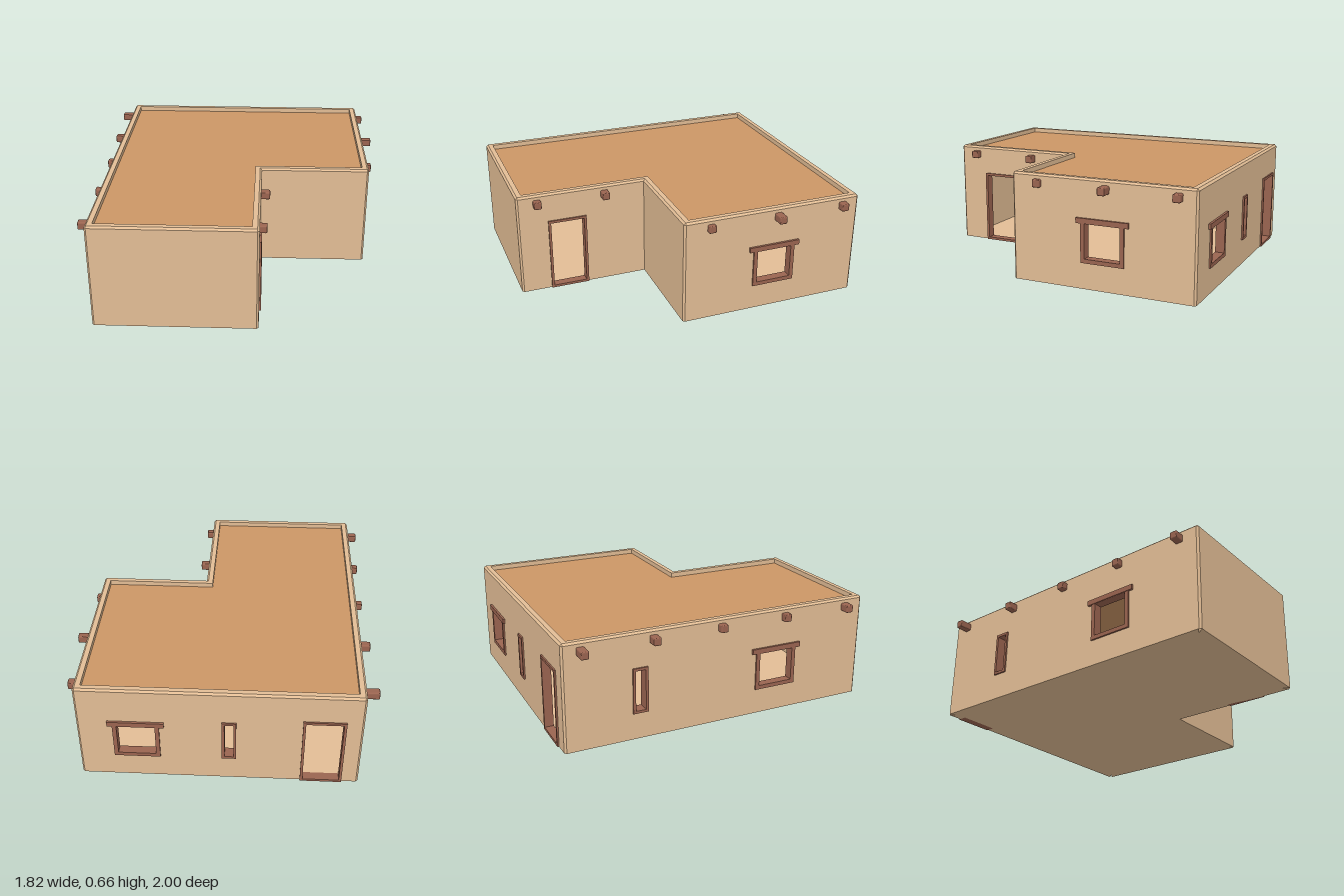
import * as THREE from 'three';
import { RoundedBoxGeometry } from 'three/addons/geometries/RoundedBoxGeometry.js';

const H = 0.66, T = 0.042, C = 0.012; // wall height, wall thickness, edge chamfer
const ROOF_Y = 0.63;

const clay = new THREE.MeshStandardMaterial({ color: 0xe2bd95, flatShading: true });
const roofClay = new THREE.MeshStandardMaterial({ color: 0xcc9666, flatShading: true });
const wood = new THREE.MeshStandardMaterial({ color: 0x9a6450, flatShading: true });

// L-shaped plan as [x, z] corners; each wall runs from its corner to the next
const plan = [[-0.83, 0.998], [0.155, 0.998], [0.155, 0.17], [0.84, 0.17], [0.84, -0.988], [-0.83, -0.988]]
  .map(([x, z]) => new THREE.Vector2(x, z));
const N = plan.length;
const dirs = plan.map((p, i) => plan[(i + 1) % N].clone().sub(p).normalize());
const norms = dirs.map(d => new THREE.Vector2(-d.y, d.x));
const prev = i => (i + N - 1) % N;
const convex = i => norms[prev(i)].dot(dirs[i]) < 0;

// Openings and beams per wall: positions run along the wall
const door = (s0, s1) => ({ name: 'doorFrame', s0, s1, y0: 0, y1: 0.475, bar: 0.016, back: 0.046 });
const slit = (s0, s1) => ({ name: 'slitWindowFrame', s0, s1, y0: 0.165, y1: 0.445, bar: 0.016, back: 0.064 });
const casement = (s0, s1) => ({ name: 'windowFrame', s0, s1, y0: 0.16, y1: 0.42, bar: 0.025, back: 0.046, lintel: true });
const walls = [
  { name: 'frontWall' },
  { name: 'porchSideWall', openings: [door(0.193, 0.44)], beams: [[0.128, 0.043], [0.563, 0.055]] },
  { name: 'porchBackWall' },
  { name: 'leftWall', openings: [casement(0.453, 0.726)], beams: [[0.17, 0.028], [0.608, 0.068], [1.046, 0.045]] },
  { name: 'backWall', openings: [casement(0.21, 0.485), slit(0.85, 0.935), door(1.32, 1.57)] },
  {
    name: 'rightWall', openings: [slit(0.418, 0.513), casement(1.228, 1.503)],
    beams: [[0.112, 0.08], [0.55, 0.06], [0.988, 0.04], [1.423, 0.04], [1.858, 0.06]],
  },
];

function addMesh(parent, name, geometry, material) {
  const mesh = new THREE.Mesh(geometry, material);
  mesh.name = name;
  parent.add(mesh);
  return mesh;
}

function rect(x0, y0, x1, y1, Type = THREE.Shape) {
  return new Type([[x0, y0], [x1, y0], [x1, y1], [x0, y1]].map(p => new THREE.Vector2(...p)));
}

// Plan corner moved inward by a distance
const corner = (i, inset) => plan[i].clone().addScaledVector(norms[prev(i)], -inset).addScaledVector(norms[i], -inset);

// Plan outline with two points per corner, so outer corners are chamfered
function ring(inset, y) {
  return plan.flatMap((_, i) => {
    const cut = convex(i) ? Math.max(0, C - inset) : 0;
    const p = corner(i, inset);
    const a = p.clone().addScaledVector(dirs[prev(i)], -cut);
    const b = p.clone().addScaledVector(dirs[i], cut);
    return [a, b].map(v => [v.x, y, v.y]);
  });
}

// Quads between successive rings; step 2 keeps only the corner strips
function loft(rings, step = 1) {
  const pos = [];
  for (let r = 0; r + 1 < rings.length; r++) {
    const lo = rings[r], hi = rings[r + 1], n = lo.length;
    for (let j = 0; j < n; j += step) {
      const k = (j + 1) % n;
      pos.push(...lo[j], ...lo[k], ...hi[k], ...lo[j], ...hi[k], ...hi[j]);
    }
  }
  const g = new THREE.BufferGeometry();
  g.setAttribute('position', new THREE.Float32BufferAttribute(pos, 3));
  g.computeVertexNormals();
  return g;
}

// Wall panel with openings, its ends mitred to meet the neighbours
function panel(i, length, openings) {
  const shape = rect(0, 0, length, H - C);
  for (const o of openings) {
    const m = o.bar / 2;
    shape.holes.push(rect(o.s0 + m, o.y0 + m, o.s1 - m, o.y1 - m, THREE.Path));
  }
  const g = new THREE.ExtrudeGeometry(shape, { depth: T, bevelEnabled: false });
  g.translate(0, 0, -T);
  const p = g.attributes.position;
  const shift = (c, outer) => (outer ? (convex(c) ? C : 0) : (convex(c) ? T : -T));
  for (let v = 0; v < p.count; v++) {
    const x = p.getX(v), outer = p.getZ(v) > -T / 2;
    if (x < 1e-5) p.setX(v, shift(i, outer));
    else if (x > length - 1e-5) p.setX(v, length - shift((i + 1) % N, outer));
  }
  g.computeVertexNormals();
  return g;
}

function addOpening(parent, o) {
  const out = 0.01;
  const shape = rect(o.s0, o.y0, o.s1, o.y1);
  shape.holes.push(rect(o.s0 + o.bar, o.y0 + o.bar, o.s1 - o.bar, o.y1 - o.bar, THREE.Path));
  const g = new THREE.ExtrudeGeometry(shape, { depth: out + o.back, bevelEnabled: false });
  addMesh(parent, o.name, g.translate(0, 0, -o.back), wood);
  if (o.lintel) {
    const l = addMesh(parent, 'lintel', new THREE.BoxGeometry(o.s1 - o.s0 + 0.058, 0.032, T + 0.018), wood);
    l.position.set((o.s0 + o.s1) / 2, 0.412, (0.01 - T) / 2);
  }
}

// Flat L-shaped slab inside the walls
function slab(y, thickness) {
  const shape = new THREE.Shape(plan.map((_, i) => {
    const p = corner(i, T);
    return new THREE.Vector2(p.x, -p.y);
  }));
  const g = new THREE.ExtrudeGeometry(shape, { depth: thickness, bevelEnabled: false });
  return g.rotateX(-Math.PI / 2).translate(0, y, 0);
}

export function createModel() {
  const house = new THREE.Group();
  house.name = 'adobeHouse';

  walls.forEach(({ name, openings = [], beams = [] }, i) => {
    const d = dirs[i], n = norms[i], p = plan[i];
    const group = new THREE.Group();
    group.name = name;
    // local x along the wall, local z outward
    group.rotation.y = Math.atan2(n.x, n.y);
    group.position.set(p.x, 0, p.y);
    house.add(group);
    const length = plan[(i + 1) % N].clone().sub(p).dot(d);
    addMesh(group, 'wallPanel', panel(i, length, openings), clay);
    openings.forEach(o => addOpening(group, o));
    // Protruding roof beam ends
    for (const [s, out] of beams) {
      const len = out + 0.035;
      const beam = addMesh(group, 'roofBeam', new RoundedBoxGeometry(0.048, 0.048, len, 2, 0.008), wood);
      beam.position.set(s, 0.605, out - len / 2);
    }
  });

  // Chamfered corners and parapet top
  addMesh(house, 'cornerChamfers', loft([ring(0, 0), ring(0, H - C)], 2), clay);
  addMesh(house, 'parapetCap', loft([ring(0, H - C), ring(C, H), ring(T, H), ring(T, H - C)]), clay);

  addMesh(house, 'floor', slab(0, 0.01), clay);
  addMesh(house, 'roof', slab(ROOF_Y - 0.02, 0.02), roofClay);
  return house;
}
